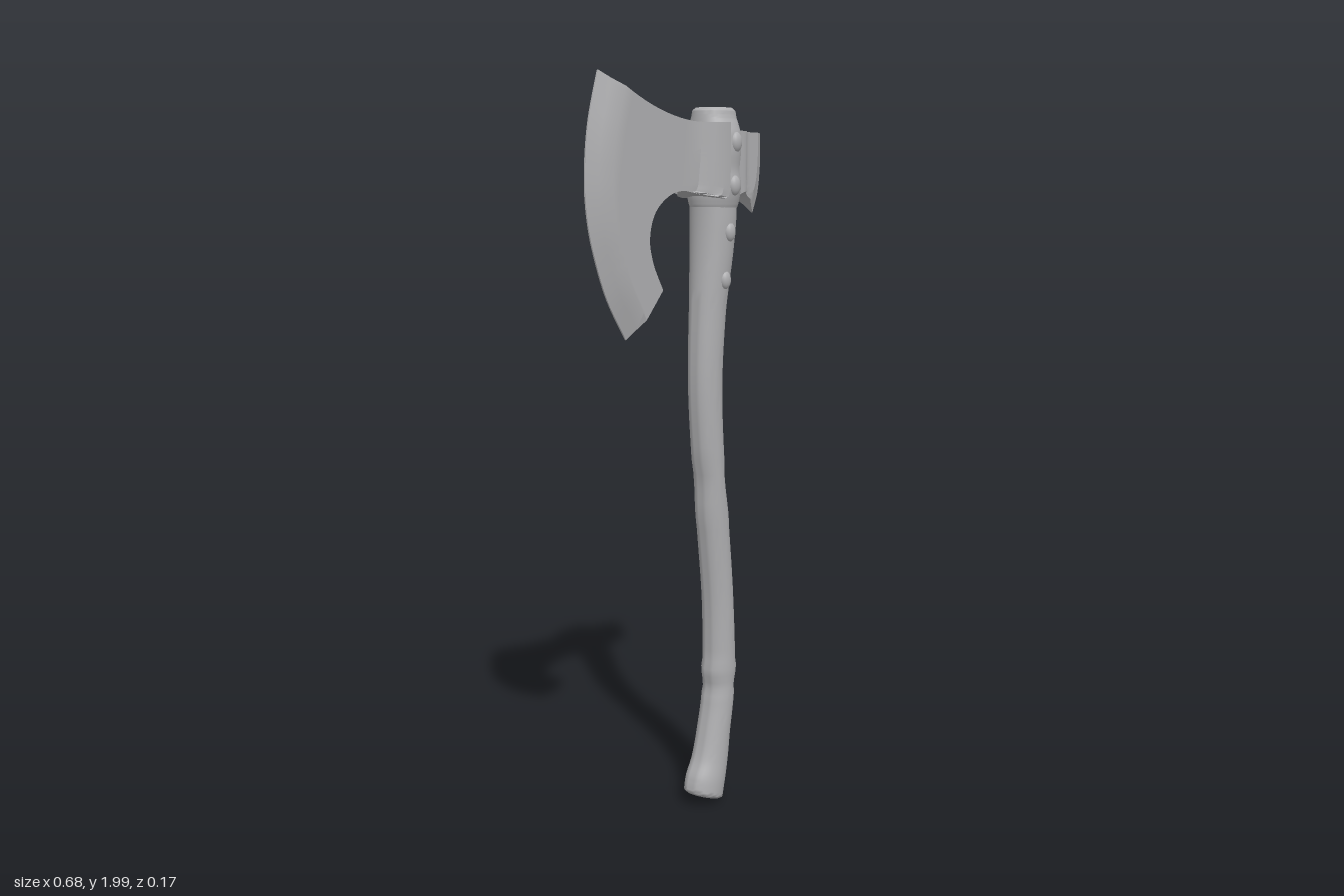
import * as THREE from 'three';
import { toCreasedNormals } from 'three/addons/utils/BufferGeometryUtils.js';

const V = (x, y, z = 0) => new THREE.Vector3(x, y, z);
const CX = 0.14; // axis of the socket

// Skin a list of closed rings
function skin(rings, crease) {
  const n = rings[0].length, pos = [], idx = [];
  rings.forEach(r => r.forEach(p => pos.push(p.x, p.y, p.z)));
  for (let i = 0; i < rings.length - 1; i++) {
    for (let j = 0; j < n; j++) {
      const a = i * n + j, b = i * n + (j + 1) % n;
      idx.push(a, a + n, b, b, a + n, b + n);
    }
  }
  const g = new THREE.BufferGeometry();
  g.setAttribute('position', new THREE.Float32BufferAttribute(pos, 3));
  g.setIndex(idx);
  return toCreasedNormals(g, crease);
}

// Oval rod through stations [centre x, y, radius x, radius z, slope]
function rod(stations, steps, sides = 32) {
  const path = new THREE.CatmullRomCurve3(stations.map(s => V(s[0], s[1], s[4] || 0)));
  const size = new THREE.CatmullRomCurve3(stations.map(s => V(s[2], s[3])));
  const ring = (c, r, k) => Array.from({ length: sides }, (_, j) => {
    const a = j / sides * Math.PI * 2, dx = Math.cos(a) * r.x * k;
    return V(c.x + dx, c.y + dx * c.z, Math.sin(a) * r.y * k);
  });
  const rings = [];
  for (let i = 0; i <= steps; i++) rings.push(ring(path.getPoint(i / steps), size.getPoint(i / steps), 1));
  // close both ends with flat caps
  rings.unshift(ring(path.getPoint(0), size.getPoint(0), 0));
  rings.push(ring(path.getPoint(1), size.getPoint(1), 0));
  return skin(rings, 0.9);
}

// Wedge spanning from a cutting edge to a back line, swelling into the socket
function wedge(edge, back, bulge, bevel, half, steps) {
  const toCurve = pts => new THREE.CatmullRomCurve3(pts.map(p => V(...p)));
  const C = toCurve(edge), K = toCurve(back), rings = [];
  for (let i = 0; i <= steps; i++) {
    const s = i / steps, c = C.getPoint(s), k = K.getPoint(s), len = c.distanceTo(k);
    const vs = [0, bevel * 0.5 / len, bevel / len];
    for (let m = 1; m <= 14; m++) vs.push(vs[2] + (1 - vs[2]) * m / 14);
    const front = vs.map(v => {
      const p = c.clone().lerp(k, v);
      p.y += bulge * (1 - s) ** 2 * 4 * v * (1 - v);
      const swell = 0.04 * (1 - THREE.MathUtils.smoothstep(Math.abs(p.x - CX), 0.05, 0.115));
      p.z = Math.max(0.002, half * Math.min(1, v * len / bevel)) + swell;
      return p;
    });
    rings.push([...front, ...front.map(p => V(p.x, p.y, -p.z)).reverse()]);
  }
  const flat = r => r.map(p => V(p.x, p.y, 0));
  return skin([flat(rings[0]), ...rings, flat(rings[steps])], 0.5);
}

export function createModel() {
  const group = new THREE.Group();
  const grey = new THREE.MeshStandardMaterial({ color: 0xaeaeb0 });
  grey.name = 'plain grey';
  const add = (name, geometry) => {
    const mesh = new THREE.Mesh(geometry, grey);
    mesh.name = name;
    group.add(mesh);
    return mesh;
  };

  // Curved haft with a flared, slanted foot
  add('handle', rod([
    [0.108, 0.026, 0.050, 0.040, -0.36], [0.108, 0.034, 0.061, 0.050, -0.36],
    [0.115, 0.070, 0.061, 0.051, -0.32], [0.135, 0.130, 0.055, 0.048, -0.22],
    [0.151, 0.210, 0.050, 0.046, -0.1], [0.170, 0.320, 0.048, 0.045],
    [0.173, 0.420, 0.048, 0.045], [0.166, 0.600, 0.045, 0.044],
    [0.145, 0.800, 0.046, 0.044], [0.122, 1.000, 0.046, 0.044],
    [0.109, 1.200, 0.049, 0.044], [0.117, 1.400, 0.052, 0.048],
    [0.132, 1.550, 0.058, 0.058], [0.138, 1.640, 0.060, 0.063],
    [0.140, 1.720, 0.061, 0.064],
  ], 70));

  // Socket around the top of the haft, with the rounded plug above it
  add('socket', rod([
    [CX, 1.665, 0.058, 0.060], [CX, 1.685, 0.064, 0.068], [CX, 1.73, 0.066, 0.077],
    [CX, 1.77, 0.065, 0.072], [CX, 1.82, 0.066, 0.076], [CX, 1.86, 0.066, 0.074],
    [CX, 1.89, 0.065, 0.063], [CX, 1.905, 0.063, 0.056], [CX, 1.92, 0.061, 0.053],
    [CX, 1.928, 0.052, 0.045],
  ], 40));

  // Bearded blade
  add('blade', wedge(
    [[-0.293, 2], [-0.31, 1.945], [-0.325, 1.89], [-0.334, 1.84], [-0.34, 1.78],
      [-0.341, 1.71], [-0.331, 1.63], [-0.312, 1.56], [-0.27, 1.455], [-0.203, 1.35]],
    [[0.12, 1.89], [0.12, 1.83], [0.12, 1.76], [0.11, 1.70], [0.03, 1.715],
      [-0.06, 1.71], [-0.125, 1.665], [-0.147, 1.60], [-0.135, 1.54], [-0.098, 1.47]],
    -0.036, 0.065, 0.034, 45));

  // Small rear wedge, listed from bottom to top
  add('rearWedge', wedge(
    [[0.304, 1.657], [0.325, 1.71], [0.334, 1.77], [0.336, 1.82], [0.335, 1.868]],
    [[0.15, 1.695], [0.15, 1.74], [0.15, 1.79], [0.15, 1.83], [0.15, 1.87]],
    0.036, 0.04, 0.025, 20));

  // Raised knobs on both faces of the socket and upper haft: x, y, z, radius
  const knobs = [
    [0.145, 1.84, 0.070, 0.022], [0.140, 1.73, 0.070, 0.022],
    [0.138, 1.61, 0.057, 0.021], [0.130, 1.485, 0.050, 0.020],
  ];
  for (const side of [1, -1]) {
    for (const [x, y, z, r] of knobs) {
      const knob = add('knob', new THREE.SphereGeometry(r, 16, 12));
      knob.position.set(x, y, z * side);
      knob.scale.set(0.9, 1.2, 0.65);
    }
  }
  return group;
}
